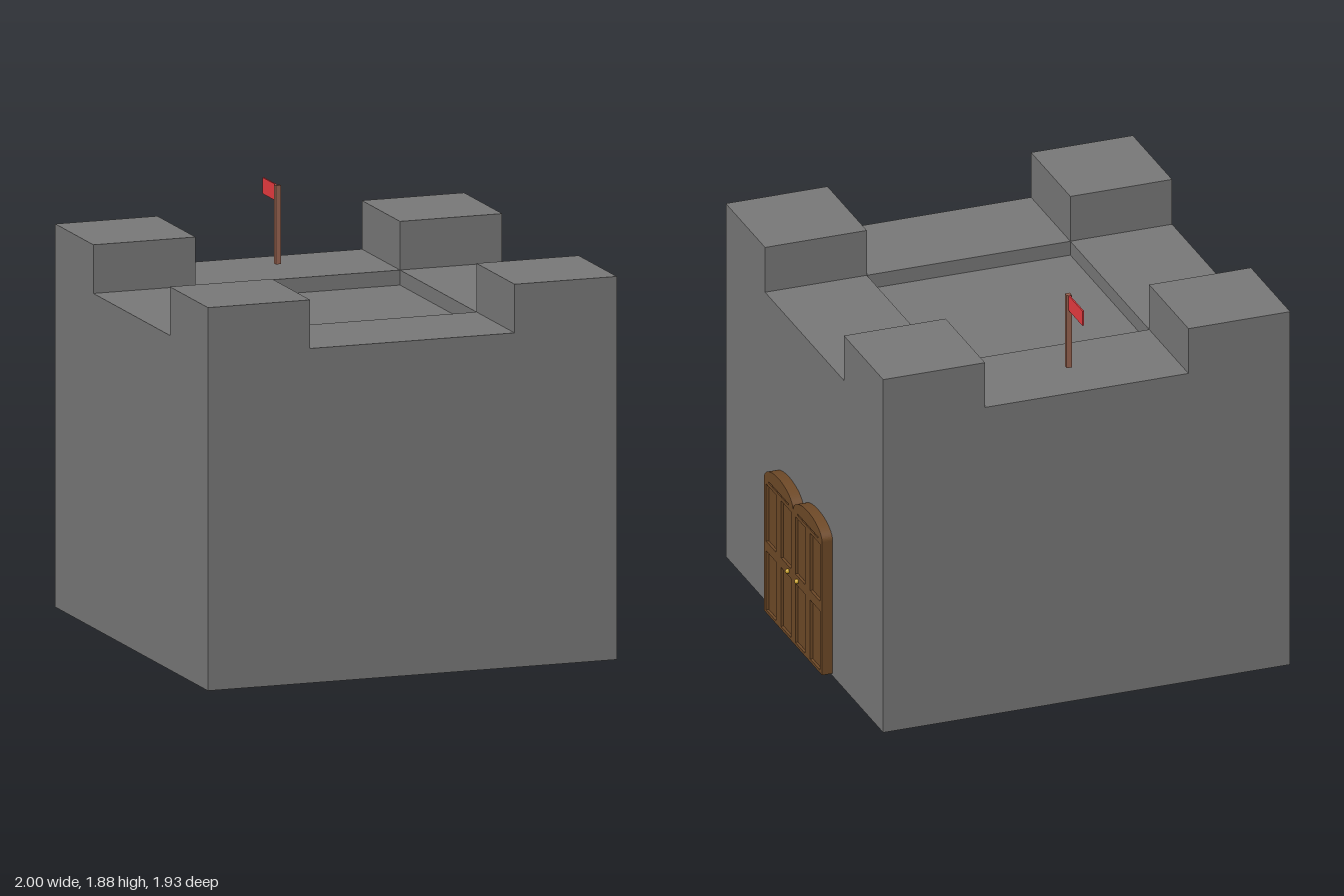
import * as THREE from 'three';

const material = (color) => new THREE.MeshStandardMaterial({ color });

function mesh(name, geometry, mat, x = 0, y = 0, z = 0) {
  const m = new THREE.Mesh(geometry, mat);
  m.name = name;
  m.position.set(x, y, z);
  return m;
}

function rect(path, x0, y0, x1, y1) {
  path.moveTo(x0, y0);
  path.lineTo(x1, y0);
  path.lineTo(x1, y1);
  path.lineTo(x0, y1);
  path.closePath();
  return path;
}

// Door leaf outline with a low elliptical arch
function leafShape() {
  const s = new THREE.Shape();
  s.moveTo(-0.177, 0.012);
  s.lineTo(0.177, 0.012);
  s.lineTo(0.177, 0.665);
  s.absellipse(0, 0.665, 0.177, 0.073, 0, Math.PI, false);
  s.closePath();
  return s;
}

const extrude = (shape, depth) =>
  new THREE.ExtrudeGeometry(shape, { depth, bevelEnabled: false, curveSegments: 20 });

// One leaf: solid back slab, panelled front frame and a knob; faces local +z
function doorLeaf(name, wood, brass, knobX) {
  const leaf = new THREE.Group();
  leaf.name = name;
  leaf.add(mesh('doorSlab', extrude(leafShape(), 0.037), wood));

  const frame = leafShape();
  for (const [y0, y1] of [[0.026, 0.316], [0.363, 0.644]]) {
    for (const [x0, x1] of [[-0.151, -0.031], [0.031, 0.151]]) {
      frame.holes.push(rect(new THREE.Path(), x0, y0, x1, y1));
    }
  }
  // Narrow groove under the arch
  frame.holes.push(rect(new THREE.Path(), -0.125, 0.662, 0.125, 0.669));
  leaf.add(mesh('doorFrame', extrude(frame, 0.013), wood, 0, 0, 0.037));

  leaf.add(mesh('doorKnob', new THREE.SphereGeometry(0.011, 16, 12), brass, knobX, 0.34, 0.055));
  return leaf;
}

export function createModel() {
  const model = new THREE.Group();
  model.name = 'castleKeep';
  const stone = material(0x797979);
  const wood = material(0x6f4a28);
  const brass = material(0xc9a227);

  // Walls: a square ring around a slightly sunken roof
  const X0 = -1, X1 = 0.932, Z = 0.967;
  const IX0 = -0.517, IX1 = 0.449, IZ = 0.484;
  const LEDGE = 1.513, ROOF = 1.445, TOP = 1.733;
  const ring = rect(new THREE.Shape(), X0, -Z, X1, Z);
  ring.holes.push(rect(new THREE.Path(), IX0, -IZ, IX1, IZ));
  const walls = mesh('walls', extrude(ring, LEDGE), stone);
  walls.rotation.x = -Math.PI / 2;
  model.add(walls);
  model.add(mesh('roof', new THREE.BoxGeometry(IX1 - IX0, ROOF, IZ * 2), stone,
    (IX0 + IX1) / 2, ROOF / 2, 0));

  // Corner battlements
  for (const [a, b] of [[X0, IX0], [IX1, X1]]) {
    for (const side of [-1, 1]) {
      model.add(mesh('cornerBattlement', new THREE.BoxGeometry(b - a, TOP - LEDGE, Z - IZ), stone,
        (a + b) / 2, (TOP + LEDGE) / 2, side * (Z + IZ) / 2));
    }
  }

  // Double door on the +x wall
  const doors = new THREE.Group();
  doors.name = 'doubleDoor';
  const frontLeaf = doorLeaf('frontDoorLeaf', wood, brass, 0.124);
  frontLeaf.position.x = -0.19;
  const backLeaf = doorLeaf('backDoorLeaf', wood, brass, -0.121);
  backLeaf.position.x = 0.168;
  doors.add(frontLeaf, backLeaf);
  doors.rotation.y = Math.PI / 2;
  doors.position.x = X1;
  model.add(doors);

  // Flag on the back ledge
  model.add(mesh('flagPole', new THREE.BoxGeometry(0.024, 0.356, 0.024), material(0x9a6552),
    -0.035, 1.705, -0.738));
  model.add(mesh('flag', new THREE.BoxGeometry(0.007, 0.073, 0.17), material(0xe93b40),
    -0.035, 1.846, -0.835));
  return model;
}
